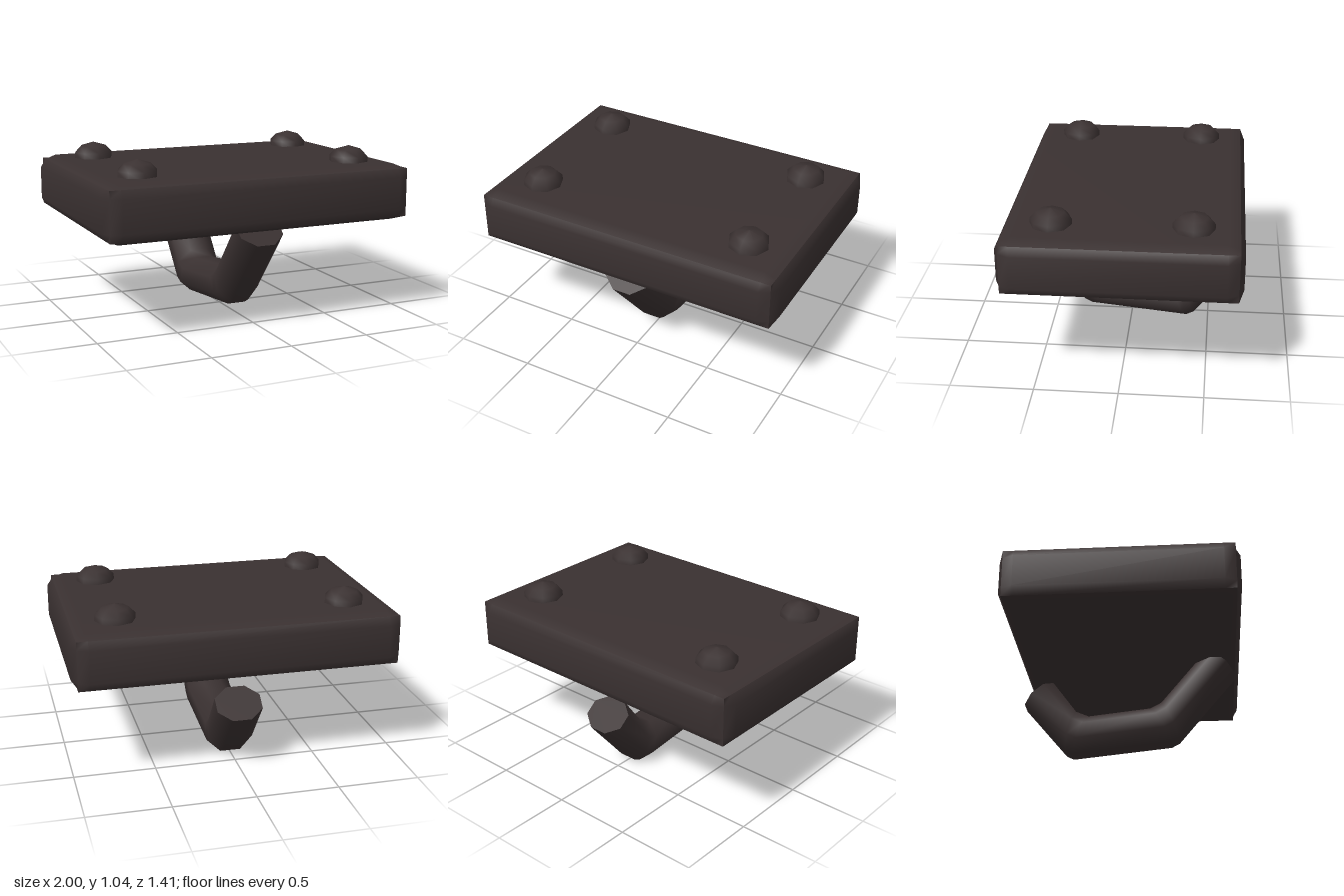
import * as THREE from 'three';
import { toCreasedNormals } from 'three/addons/utils/BufferGeometryUtils.js';

// Box whose six faces each bulge outward, with crisp edges between them
function pillowBox(edge, inner, outer) {
  const geo = new THREE.BoxGeometry(1, 1, 1, 3, 3, 3);
  const pos = geo.attributes.position, nor = geo.attributes.normal;
  for (let i = 0; i < pos.count; i++) {
    const p = [pos.getX(i), pos.getY(i), pos.getZ(i)];
    const n = [nor.getX(i), nor.getY(i), nor.getZ(i)];
    const axis = n.findIndex((v) => Math.abs(v) > 0.5);
    const raised = p.every((v, k) => k === axis || Math.abs(v) < 0.3);
    const q = p.map((v, k) => {
      const size = k === axis ? (raised ? outer : edge) : (Math.abs(v) < 0.3 ? inner : edge);
      return Math.sign(v) * size[k];
    });
    pos.setXYZ(i, ...q);
  }
  geo.computeVertexNormals();
  return geo;
}

// Octagonal bar lofted through sections [innerZ, innerY, outerZ, outerY]
function bentBar(sections, halfWidth) {
  const sides = 8;
  const rings = sections.map(([iz, iy, oz, oy]) => {
    const k = 0.5 / Math.cos(Math.PI / sides);
    return Array.from({ length: sides }, (_, j) => {
      const a = ((j + 0.5) / sides) * Math.PI * 2;
      const s = Math.sin(a) * k;
      return [
        Math.cos(a) * k * 2 * halfWidth,
        (iy + oy) / 2 + s * (iy - oy),
        (iz + oz) / 2 + s * (iz - oz),
      ];
    });
  });
  const verts = [];
  const tri = (...pts) => pts.forEach((p) => verts.push(...p));
  for (let i = 0; i < rings.length - 1; i++) {
    for (let j = 0; j < sides; j++) {
      const k = (j + 1) % sides;
      const a = rings[i][j], b = rings[i + 1][j], c = rings[i + 1][k], d = rings[i][k];
      tri(a, b, c);
      tri(a, c, d);
    }
  }
  const first = rings[0], last = rings[rings.length - 1];
  for (let j = 1; j < sides - 1; j++) {
    tri(first[0], first[j], first[j + 1]);
    tri(last[0], last[j + 1], last[j]);
  }
  const geo = new THREE.BufferGeometry();
  geo.setAttribute('position', new THREE.Float32BufferAttribute(verts, 3));
  return toCreasedNormals(geo, 0.95);
}

export function createModel() {
  const model = new THREE.Group();
  model.name = 'mountingPlateWithHook';
  const iron = new THREE.MeshStandardMaterial({ color: 0x3a3131 });
  iron.name = 'dark iron';

  const add = (name, geo, x = 0, y = 0, z = 0) => {
    const mesh = new THREE.Mesh(geo, iron);
    mesh.name = name;
    mesh.position.set(x, y, z);
    model.add(mesh);
  };

  // Thick mounting plate
  add('plate', pillowBox([0.967, 0.15, 0.677], [0.9, 0.1, 0.61], [1, 0.176, 0.705]), 0, 0.77, 0);

  // Four domed rivets on top
  const dome = new THREE.LatheGeometry(
    [[0.122, 0], [0.122, 0.06], [0.083, 0.1], [0, 0.125]].map(([r, y]) => new THREE.Vector2(r, y)), 8);
  for (const x of [-0.705, 0.705]) {
    for (const z of [-0.41, 0.41]) add('rivet', dome, x, 0.92, z);
  }

  // Hook hanging beneath, rising again at the back
  add('hook', bentBar([
    [0.49, 0.676, 0.67, 0.52],
    [0.20, 0.325, 0.31, 0.09],
    [0.13, 0.288, 0.26, 0.063],
    [-0.26, 0.245, -0.36, 0.0],
    [-0.34, 0.28, -0.405, 0.022],
    [-0.49, 0.485, -0.67, 0.34],
  ], 0.14));

  return model;
}
